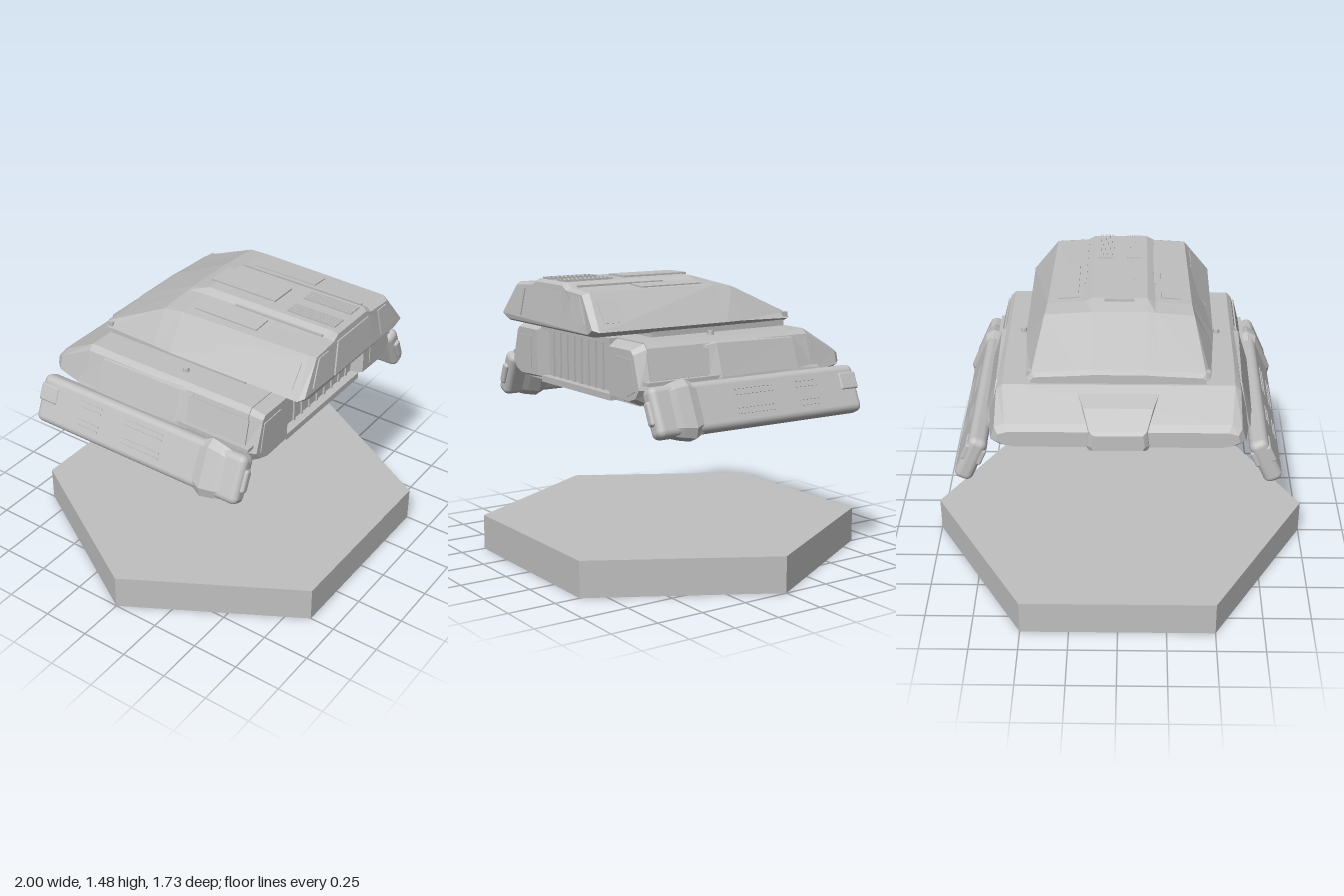
import * as THREE from 'three';
import { RoundedBoxGeometry } from 'three/addons/geometries/RoundedBoxGeometry.js';

const hullGrey = new THREE.MeshStandardMaterial({ color: 0xc0c0c0 });
hullGrey.name = 'hull grey';

// Adds a named mesh to a parent
function add(parent, name, geometry, x = 0, y = 0, z = 0) {
  const mesh = new THREE.Mesh(geometry, hullGrey);
  mesh.name = name;
  mesh.position.set(x, y, z);
  parent.add(mesh);
  return mesh;
}

const box = (w, h, d) => new THREE.BoxGeometry(w, h, d);

// Gives every [x, y] point of a cross-section the same z
const at = (z, pts) => pts.map(([x, y]) => [x, y, z]);

// Right half from bottom to top, completed with its mirror image
const sym = (half) => [...half, ...half.map(([x, y, z]) => [-x, y, z]).reverse()];

// The same loop on the other side, still counter-clockwise
const flip = (loop) => loop.map(([x, y, z]) => [-x, y, z]).reverse();

// Flat-shaded capped skin over cross-sections ordered from front to back
function loft(sections) {
  const pos = [];
  const tri = (...corners) => corners.forEach((c) => pos.push(...c));
  const n = sections[0].length;
  for (let s = 0; s < sections.length - 1; s++) {
    const [f, b] = [sections[s], sections[s + 1]];
    for (let i = 0; i < n; i++) {
      const j = (i + 1) % n;
      tri(f[i], b[i], b[j]);
      tri(f[i], b[j], f[j]);
    }
  }
  const front = sections[0], back = sections[sections.length - 1];
  for (let i = 1; i < n - 1; i++) {
    tri(front[0], front[i], front[i + 1]);
    tri(back[0], back[i + 1], back[i]);
  }
  const geometry = new THREE.BufferGeometry();
  geometry.setAttribute('position', new THREE.Float32BufferAttribute(pos, 3));
  geometry.computeVertexNormals();
  return geometry;
}

// Thin plate from an outline in the xy plane
function plate(points, depth = 0.008) {
  const shape = new THREE.Shape(points.map(([x, y]) => new THREE.Vector2(x, y)));
  return new THREE.ExtrudeGeometry(shape, { depth, bevelEnabled: false });
}

function buildLowerHull(ship) {
  const side = [[0.54, 0.905], [0.61, 0.92], [0.65, 0.99], [0.6, 1.19], [0.575, 1.215]];
  const sections = [
    at(0.54, side),
    at(-0.25, side),
    at(-0.43, [[0.54, 0.94], [0.61, 0.955], [0.65, 1.0], [0.6, 1.19], [0.57, 1.215]]),
    at(-0.62, [[0.53, 0.985], [0.58, 0.995], [0.62, 1.02], [0.6, 1.09], [0.55, 1.11]]),
    at(-0.655, [[0.5, 1.0], [0.55, 1.01], [0.59, 1.03], [0.58, 1.07], [0.53, 1.085]]),
  ].map(sym);
  add(ship, 'lowerHull', loft(sections));

  // Rear centre block
  add(ship, 'tailBlock', loft([
    at(-0.38, [[0.2, 0.92], [0.22, 1.0], [0.23, 1.225]]),
    at(-0.56, [[0.17, 0.965], [0.19, 1.0], [0.17, 1.16]]),
    at(-0.66, [[0.14, 0.985], [0.15, 1.01], [0.14, 1.095]]),
    at(-0.68, [[0.12, 0.995], [0.13, 1.015], [0.12, 1.08]]),
  ].map(sym)));

  // Front corner blocks with window plates, and side fairings
  const corner = [
    at(0.6, [[0.36, 0.94], [0.53, 0.935], [0.59, 0.955], [0.62, 1.0], [0.57, 1.16], [0.55, 1.18], [0.36, 1.18]]),
    at(0.53, [[0.33, 0.92], [0.54, 0.905], [0.61, 0.92], [0.65, 0.99], [0.6, 1.19], [0.575, 1.215], [0.33, 1.215]]),
  ];
  const fairing = [
    at(0.22, [[0.6, 1.0], [0.655, 1.0], [0.65, 1.02], [0.605, 1.18], [0.58, 1.18]]),
    at(0.15, [[0.6, 0.98], [0.675, 1.0], [0.67, 1.03], [0.62, 1.19], [0.58, 1.2]]),
    at(-0.33, [[0.6, 0.98], [0.67, 1.0], [0.66, 1.03], [0.61, 1.18], [0.58, 1.19]]),
    at(-0.48, [[0.6, 0.99], [0.655, 1.0], [0.645, 1.02], [0.63, 1.04], [0.58, 1.05]]),
  ];
  const window = [[0.42, 0.97], [0.52, 0.955], [0.59, 0.99], [0.56, 1.14], [0.42, 1.145]];
  for (const s of [1, -1]) {
    const turn = (loop) => (s > 0 ? loop : flip(loop));
    add(ship, 'frontCorner', loft(corner.map(turn)));
    add(ship, 'sideFairing', loft(fairing.map(turn)));
    add(ship, 'cornerWindow', plate(turn(window)), 0, 0, 0.597);
    add(ship, 'sideLedge', box(0.07, 0.018, 0.46), s * 0.63, 1.03, 0.35);
    add(ship, 'sidePanel', box(0.008, 0.13, 0.38), s * 0.627, 1.105, 0.36).rotation.z = s * 0.245;
    add(ship, 'deckStud', new THREE.CylinderGeometry(0.015, 0.018, 0.025, 8), s * 0.5, 1.222, 0.1);
    for (const z of [0.46, -0.1])
      add(ship, 'bellyLamp', new THREE.SphereGeometry(0.03, 12, 8), s * 0.53, 0.905, z);
  }

  // Ribbed front centre
  add(ship, 'frontTopLip', box(0.68, 0.028, 0.05), 0, 1.201, 0.56);
  add(ship, 'frontBottomLip', box(0.68, 0.032, 0.05), 0, 0.924, 0.56);
  for (let i = -4; i <= 4; i++) add(ship, 'frontRib', box(0.012, 0.25, 0.01), i * 0.07, 1.06, 0.544);

  // Belly plates
  for (const s of [1, -1])
    for (const z of [0.4, 0.17, -0.07]) add(ship, 'bellyPlate', box(0.26, 0.01, 0.18), s * 0.23, 0.902, z);
  add(ship, 'neck', box(0.86, 0.05, 0.82), 0, 1.225, -0.01);
}

function buildUpperHull(ship) {
  const sections = [
    [[0.4, 1.25, 0.745], [0.45, 1.275, 0.75], [0.325, 1.43, 0.73], [0.17, 1.44, 0.728], [0.13, 1.46, 0.725]],
    [[0.42, 1.237, 0.72], [0.478, 1.265, 0.725], [0.345, 1.442, 0.7], [0.18, 1.452, 0.7], [0.14, 1.474, 0.7]],
    at(-0.02, [[0.42, 1.237], [0.478, 1.265], [0.365, 1.442], [0.18, 1.455], [0.14, 1.476]]),
    at(-0.12, [[0.42, 1.237], [0.47, 1.265], [0.375, 1.432], [0.18, 1.446], [0.14, 1.45]]),
    at(-0.43, [[0.41, 1.237], [0.45, 1.255], [0.425, 1.285], [0.2, 1.295], [0.13, 1.3]]),
    at(-0.455, [[0.4, 1.245], [0.43, 1.255], [0.41, 1.27], [0.2, 1.28], [0.13, 1.285]]),
  ].map(sym);
  add(ship, 'upperHull', loft(sections));

  // Front window plates on the slightly raked face
  const centre = [[-0.19, -0.08], [0.19, -0.08], [0.14, 0.08], [-0.14, 0.08]];
  const sideWindow = [[0.25, -0.07], [0.38, -0.055], [0.31, 0.07], [0.23, 0.07]];
  for (const outline of [centre, sideWindow, flip(sideWindow)])
    add(ship, 'frontWindow', plate(outline), 0, 1.35, 0.738).rotation.x = -0.125;

  // Roof hatch, vents and edge strips
  add(ship, 'roofHatch', box(0.15, 0.012, 0.38), 0, 1.478, 0.14);
  for (const s of [1, -1]) {
    for (let i = 0; i < 7; i++) add(ship, 'ventSlat', box(0.006, 0.01, 0.27), s * (0.037 + i * 0.012), 1.479, 0.56);
    add(ship, 'roofStrip', box(0.1, 0.01, 0.36), s * 0.26, 1.45, 0.2).rotation.z = -s * 0.07;
    add(ship, 'roofRail', box(0.012, 0.012, 0.5), s * 0.18, 1.456, 0.42);
    add(ship, 'rearCorner', box(0.025, 0.025, 0.03), s * 0.435, 1.275, -0.415);
    add(ship, 'upperSidePanel', box(0.008, 0.13, 0.46), s * 0.411, 1.353, 0.45).rotation.z = s * 0.645;
  }
}

// Tilted side pod with collar, slot frames and rear clamp
function buildPod(ship, s) {
  const pod = new THREE.Group();
  pod.name = 'sidePod';
  pod.position.set(s * 0.722, 0.903, -0.02);
  pod.rotation.z = s * 0.42;
  ship.add(pod);
  add(pod, 'podBody', new RoundedBoxGeometry(0.095, 0.25, 1.25, 3, 0.035));
  const collar = (z, w, h) => sym(at(z, [[w * 0.5, -h], [w, -h * 0.7], [w, h * 0.7], [w * 0.5, h]]));
  add(pod, 'podCollar', loft([
    collar(0.56, 0.04, 0.115), collar(0.49, 0.055, 0.135),
    collar(0.42, 0.062, 0.148), collar(0.36, 0.045, 0.12),
  ]));
  add(pod, 'podNose', new RoundedBoxGeometry(0.045, 0.12, 0.05, 2, 0.015), 0, 0, 0.615);
  add(pod, 'rearClamp', new RoundedBoxGeometry(0.108, 0.09, 0.11, 2, 0.01), 0, 0.035, -0.565);
  for (const face of [1, -1])
    for (const y of [0.05, -0.045])
      for (const [z, length] of [[0.04, 0.23], [-0.29, 0.13]])
        for (const dy of [0.014, -0.014])
          add(pod, 'slotFrame', box(0.008, 0.008, length), face * 0.048, y + dy, z);
}

export function createModel() {
  const model = new THREE.Group();
  model.name = 'hoveringCraftOnStand';

  // Hexagonal stand with corners on the x axis
  const hex = new THREE.CylinderGeometry(1, 1, 0.186, 6).toNonIndexed();
  hex.computeVertexNormals();
  hex.rotateY(Math.PI / 6);
  add(model, 'hexStand', hex, 0, 0.093, 0);

  const ship = new THREE.Group();
  ship.name = 'craft';
  model.add(ship);
  buildLowerHull(ship);
  buildUpperHull(ship);
  buildPod(ship, 1);
  buildPod(ship, -1);
  return model;
}
